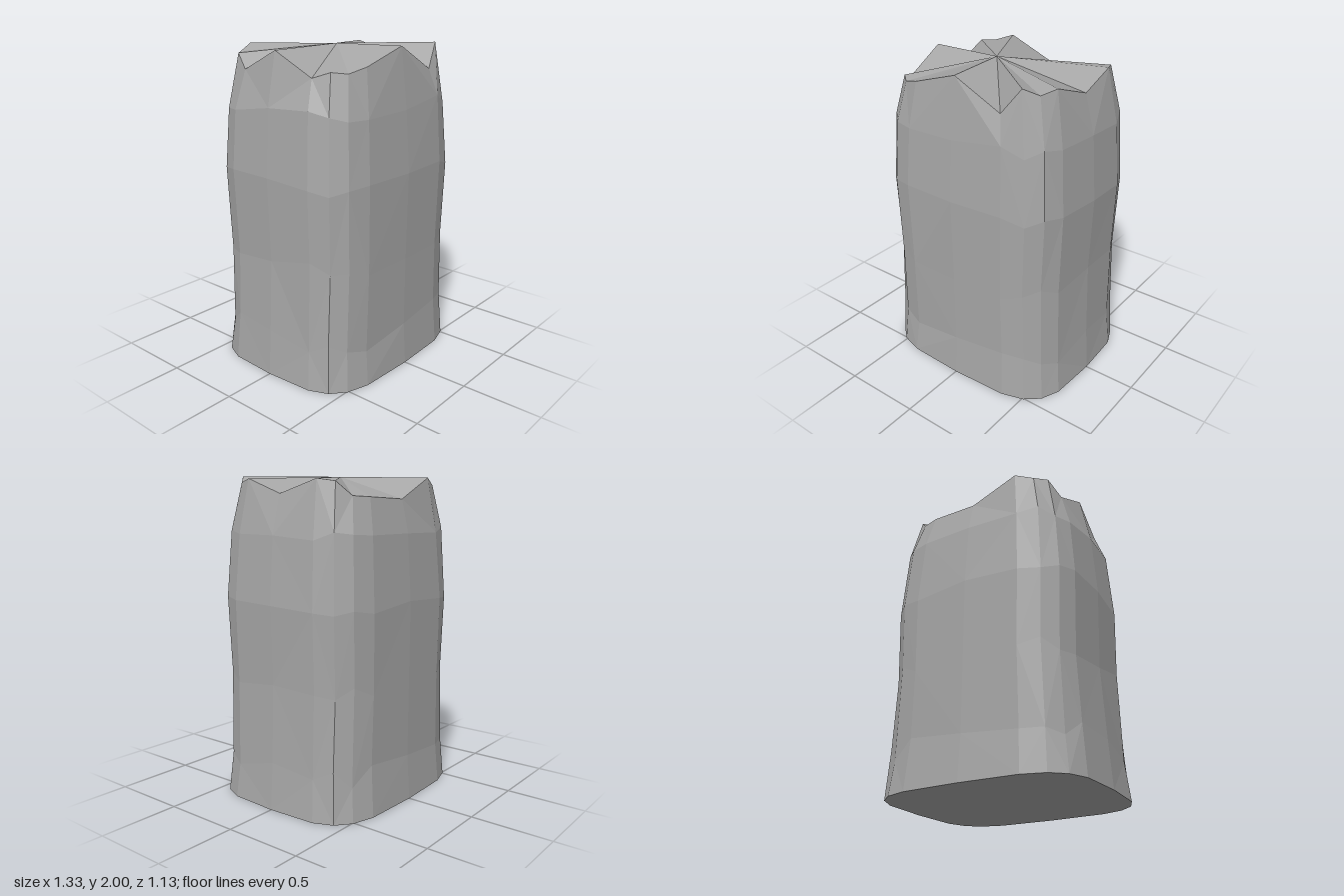
import * as THREE from 'three';

const SIDES = 20;

// Small seeded noise in -1..1
function makeNoise(seed) {
  return () => {
    seed = (seed * 16807) % 2147483647;
    return (seed / 2147483647) * 2 - 1;
  };
}

// Rounded-rectangle cross-section (superellipse)
function outline(i, halfX, halfZ) {
  const a = (i / SIDES) * Math.PI * 2;
  const soft = (v) => (Math.abs(v) < 1e-6 ? 0 : Math.sign(v) * Math.sqrt(Math.abs(v)));
  return [halfX * soft(Math.cos(a)), halfZ * soft(Math.sin(a))];
}

export function createModel() {
  const group = new THREE.Group();
  group.name = 'stonePillar';
  const stone = new THREE.MeshStandardMaterial({ color: 0xa6a6a6, flatShading: true });
  stone.name = 'grey stone';
  const noise = makeNoise(4711);

  // Rings from the ground up: height, half width, half depth, roughness
  const levels = [
    [0, 0.665, 0.563, 0],
    [0.26, 0.642, 0.54, 1],
    [0.76, 0.625, 0.543, 1],
    [1.24, 0.643, 0.55, 0.5],
    [1.65, 0.612, 0.523, 0.6],
  ];
  const rings = levels.map(([y, hx, hz, rough]) =>
    Array.from({ length: SIDES }, (_, i) => {
      const k = 1 + noise() * 0.009 * rough;
      const [x, z] = outline(i, hx * k, hz * k);
      return [x, y + noise() * 0.055 * rough, z];
    }));

  // Broken rim, starting at +x and turning towards the front
  const rim = [1.885, 1.975, 1.955, 1.995, 1.845, 2, 1.905, 1.875, 1.885, 1.85,
    1.985, 1.86, 1.945, 1.945, 1.987, 1.855, 1.865, 1.87, 1.95, 1.965];
  const top = rim.map((y, i) => {
    const [x, z] = outline(i, 0.548, 0.475);
    return [x, y, z];
  });
  rings.push(top);

  const addPart = (name, triangles) => {
    const geometry = new THREE.BufferGeometry();
    geometry.setAttribute('position', new THREE.Float32BufferAttribute(triangles.flat(2), 3));
    geometry.computeVertexNormals();
    const mesh = new THREE.Mesh(geometry, stone);
    mesh.name = name;
    group.add(mesh);
  };

  // Faceted walls
  const walls = [];
  for (let r = 0; r < rings.length - 1; r++) {
    for (let i = 0; i < SIDES; i++) {
      const j = (i + 1) % SIDES;
      const a = rings[r][i], b = rings[r][j], c = rings[r + 1][j], d = rings[r + 1][i];
      if ((i + r) % 2) walls.push([a, d, b], [b, d, c]);
      else walls.push([a, d, c], [a, c, b]);
    }
  }
  addPart('walls', walls);

  // Jagged top fan and flat underside
  const peak = [-0.053, 1.997, 0.032];
  addPart('brokenTop', top.map((p, i) => [peak, top[(i + 1) % SIDES], p]));
  addPart('underside', rings[0].map((p, i) => [[0, 0, 0], p, rings[0][(i + 1) % SIDES]]));

  return group;
}
